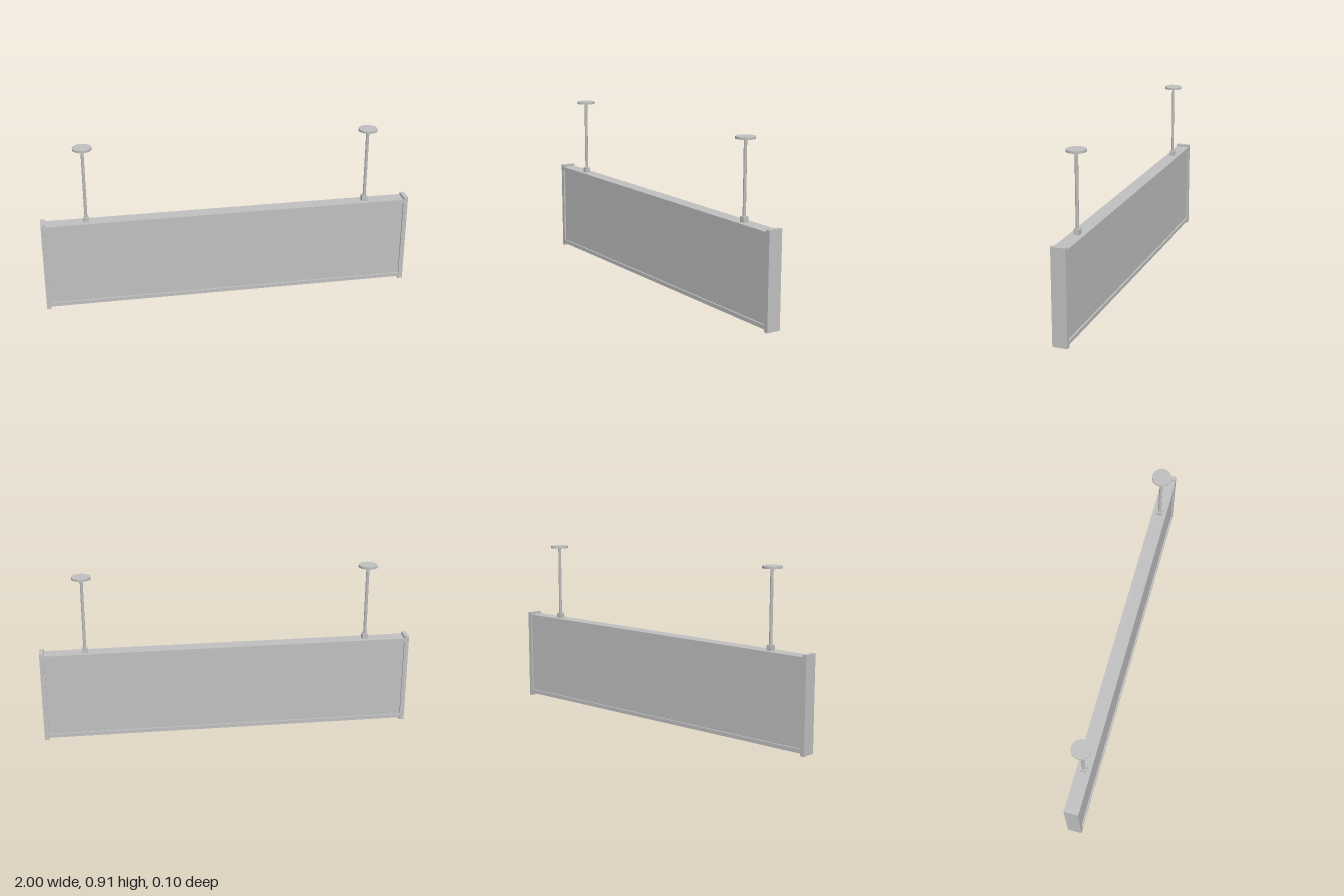
import * as THREE from 'three';

export function createModel() {
  const model = new THREE.Group();
  model.name = 'hangingSign';
  const metal = new THREE.MeshStandardMaterial({ color: 0xc0c0c0 });
  metal.name = 'brushedGrey';

  function add(name, geometry, x, y, z = 0, parent = model) {
    const mesh = new THREE.Mesh(geometry, metal);
    mesh.name = name;
    mesh.position.set(x, y, z);
    parent.add(mesh);
    return mesh;
  }

  const depth = 0.077, capWidth = 0.024, height = 0.503;
  const bottom = 0.013, top = 0.491, rail = 0.021, recess = 0.009;
  const innerWidth = 2 - capWidth * 2;

  // Recessed display panel, the same on both faces
  add('panel', new THREE.BoxGeometry(innerWidth, top - bottom - rail * 2, depth - recess * 2),
    0, (top + bottom) / 2);

  // Long rails above and below the panel
  const railGeometry = new THREE.BoxGeometry(innerWidth, rail, depth);
  add('topRail', railGeometry, 0, top - rail / 2);
  add('bottomRail', railGeometry, 0, bottom + rail / 2);

  // End caps and ceiling hangers, mirrored
  const capGeometry = new THREE.BoxGeometry(capWidth, height, depth);
  const collarGeometry = new THREE.BoxGeometry(0.03, 0.028, 0.03);
  const rodGeometry = new THREE.CylinderGeometry(0.0085, 0.0085, 0.385, 8).rotateY(Math.PI / 8);
  const discGeometry = new THREE.CylinderGeometry(0.05, 0.05, 0.012, 32);
  for (const [side, s] of [['left', 1], ['right', -1]]) {
    add(side + 'EndCap', capGeometry, s * (1 - capWidth / 2), height / 2);

    const hanger = new THREE.Group();
    hanger.name = side + 'Hanger';
    hanger.position.x = s * 0.76;
    add('collar', collarGeometry, 0, top + 0.014, 0, hanger);
    add('rod', rodGeometry, 0, 0.71, 0, hanger);
    add('ceilingDisc', discGeometry, 0, 0.906, 0, hanger);
    model.add(hanger);
  }
  return model;
}
